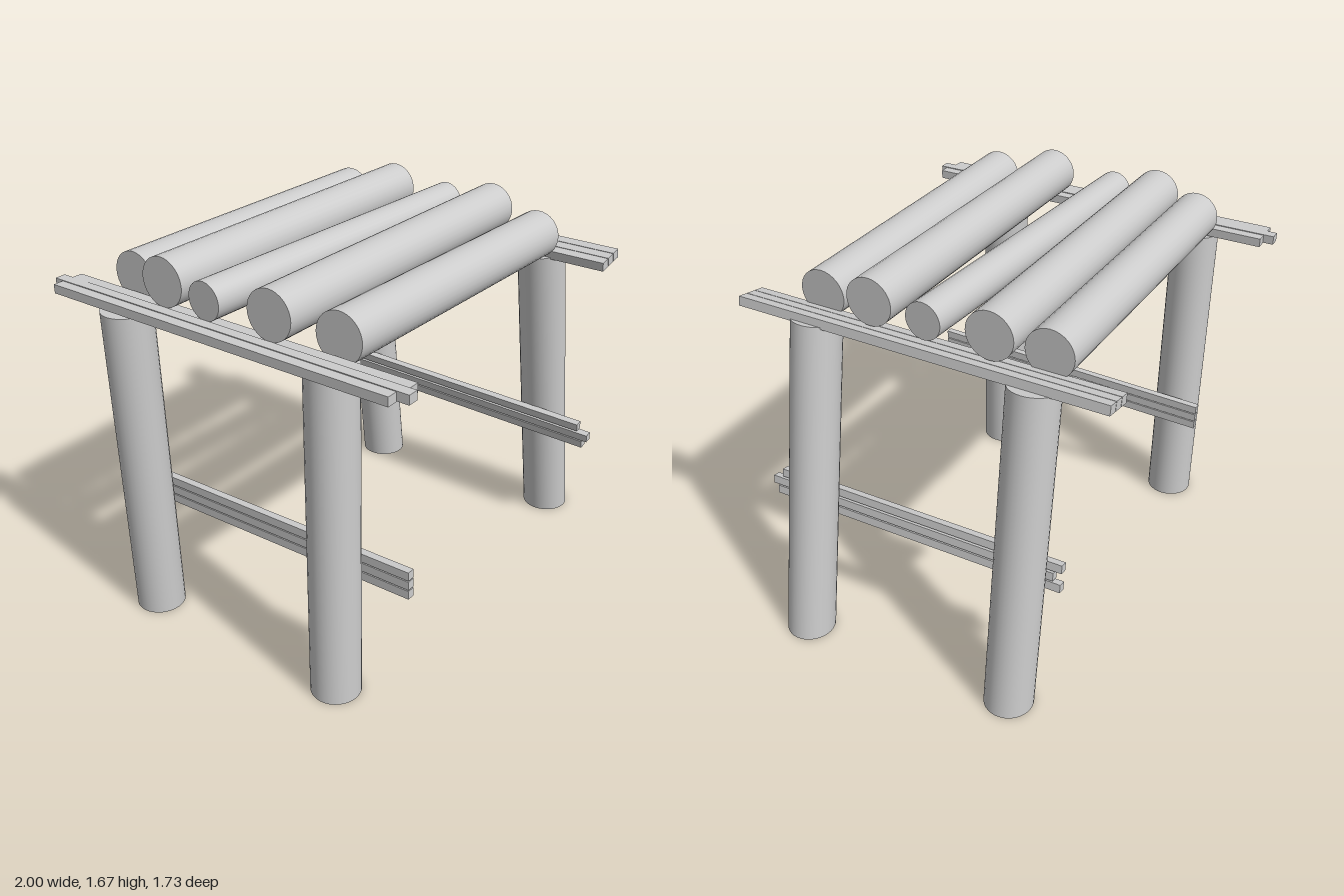
import * as THREE from 'three';

const material = new THREE.MeshStandardMaterial({ color: 0xcccccc });
const UP = new THREE.Vector3(0, 1, 0);

// Round pole between two points, with caps square to its axis
function poleGeometry(a, b, radius) {
  const from = new THREE.Vector3(...a), to = new THREE.Vector3(...b);
  const axis = to.clone().sub(from);
  const geometry = new THREE.CylinderGeometry(radius, radius, axis.length(), 32);
  const turn = new THREE.Quaternion().setFromUnitVectors(UP, axis.normalize());
  geometry.applyQuaternion(turn);
  const mid = from.add(to).multiplyScalar(0.5);
  return geometry.translate(mid.x, mid.y, mid.z);
}

// Leaning pole whose foot is cut level with the ground
function legGeometry(foot, top, radius) {
  const geometry = poleGeometry(foot, top, radius);
  const axis = new THREE.Vector3(...top).sub(new THREE.Vector3(...foot));
  const p = geometry.attributes.position, n = geometry.attributes.normal;
  for (let i = 0; i < p.count; i++) {
    const y = p.getY(i);
    if (y > 0.3) continue;
    p.setXYZ(i, p.getX(i) - axis.x * y / axis.y, 0, p.getZ(i) - axis.z * y / axis.y);
    if (n.getY(i) < -0.9) n.setXYZ(i, 0, -1, 0);
  }
  return geometry;
}

function add(parent, name, geometry) {
  const mesh = new THREE.Mesh(geometry, material);
  mesh.name = name;
  parent.add(mesh);
  return mesh;
}

// Bundle of square bars running along z; each bar is [x, y, zBack, zFront]
function barBundle(parent, name, width, height, position, rotation, bars) {
  const group = new THREE.Group();
  group.name = name;
  group.position.set(...position);
  group.rotation.set(...rotation);
  for (const [x, y, back, front] of bars) {
    add(group, name + 'Bar', new THREE.BoxGeometry(width, height, front - back))
      .position.set(x, y, (back + front) / 2);
  }
  parent.add(group);
}

export function createModel() {
  const model = new THREE.Group();
  model.name = 'logStool';

  // Four legs
  const legs = [
    ['frontLeftLeg', [0.89, 0, 0.485], [0.647, 1.43, 0.485]],
    ['backLeftLeg', [0.848, 0, -0.497], [0.665, 1.43, -0.497]],
    ['frontRightLeg', [-0.857, 0, 0.485], [-0.807, 1.42, 0.445]],
    ['backRightLeg', [-0.863, 0, -0.497], [-0.895, 1.42, -0.497]],
  ];
  for (const [name, foot, top] of legs) add(model, name, legGeometry(foot, top, 0.105));

  // Seat logs, front to back
  const logs = [
    [[-0.82, 1.533, 0.49], [0.59, 1.512, 0.49], 0.102],
    [[-0.88, 1.57, 0.225], [0.65, 1.57, 0.225], 0.102],
    [[-0.88, 1.545, -0.09], [0.652, 1.554, -0.018], 0.079],
    [[-0.88, 1.57, -0.302], [0.65, 1.57, -0.302], 0.102],
    [[-0.82, 1.526, -0.517], [0.59, 1.526, -0.517], 0.102],
  ];
  for (const [a, b, radius] of logs) add(model, 'seatLog', poleGeometry(a, b, radius));

  // Rails under the seat
  barBundle(model, 'rightTopRail', 0.046, 0.038, [-0.905, 1.45, 0], [0, 0, 0], [
    [-0.048, 0, -0.82, 0.81],
    [0, 0.002, -0.865, 0.86],
    [0.049, 0, -0.82, 0.83],
  ]);
  barBundle(model, 'leftTopRail', 0.045, 0.04, [0.65, 1.443, 0], [0, 0, 0.17], [
    [-0.048, 0, -0.82, 0.815],
    [0, 0, -0.82, 0.815],
    [0.048, 0, -0.82, 0.815],
  ]);

  // Stretchers on the inner side of the legs
  barBundle(model, 'rightStretcher', 0.033, 0.037, [-0.743, 0.543, 0], [-0.025, 0, 0], [
    [0, -0.042, -0.645, 0.76],
    [0, 0, -0.645, 0.76],
    [0, 0.042, -0.645, 0.76],
  ]);
  barBundle(model, 'leftStretcher', 0.034, 0.036, [0.673, 0.573, 0], [0.02, 0, 0.17], [
    [0, -0.042, -0.64, 0.76],
    [0, 0, -0.605, 0.785],
    [0, 0.046, -0.64, 0.735],
  ]);

  return model;
}
